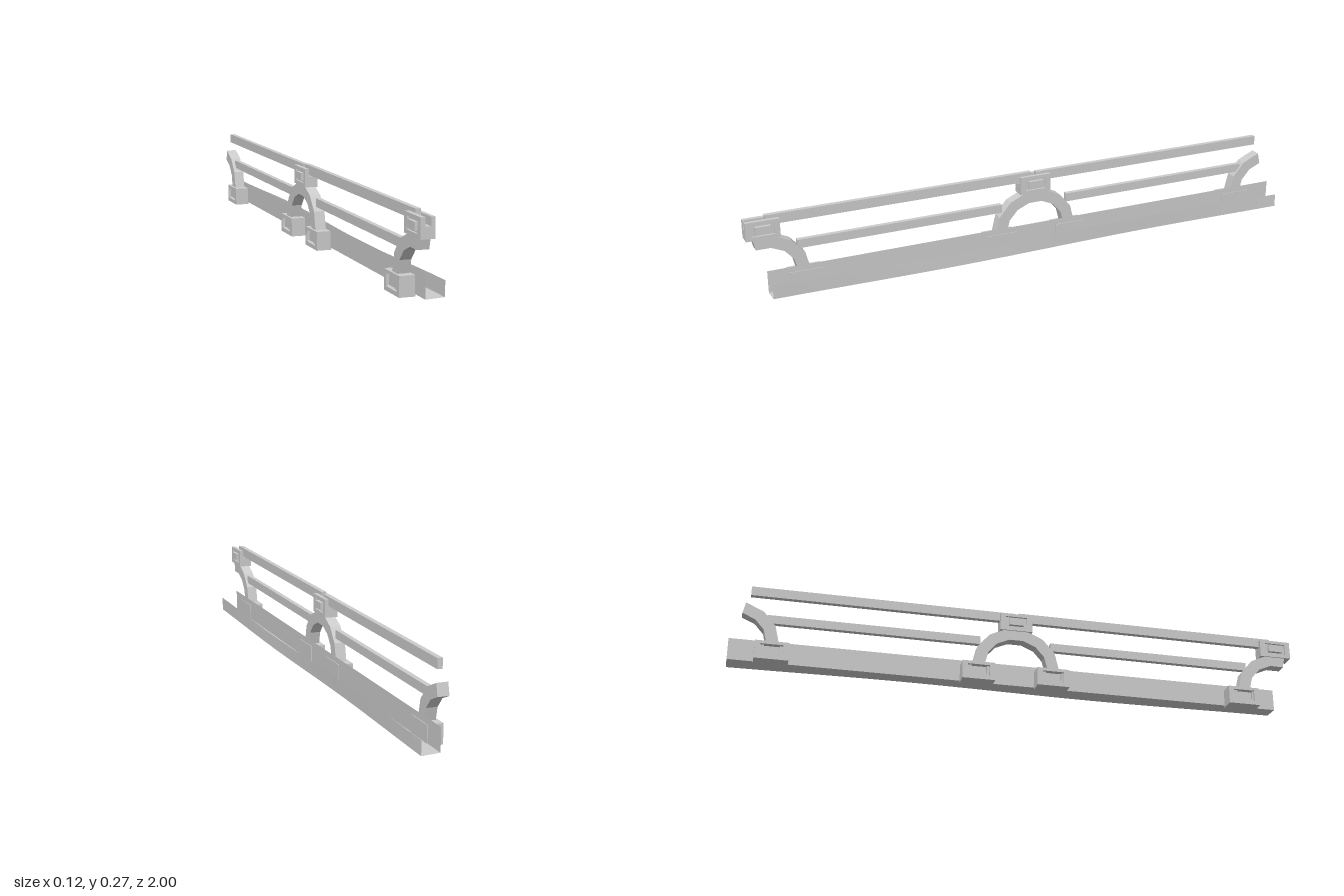
import * as THREE from 'three';

const mat = new THREE.MeshStandardMaterial({ color: 0xcccccc, flatShading: true });
const sheet = new THREE.MeshStandardMaterial({ color: 0xcccccc, flatShading: true, side: THREE.DoubleSide });

function add(parent, name, geo, material = mat) {
  const m = new THREE.Mesh(geo, material);
  m.name = name;
  parent.add(m);
  return m;
}

// Box given by its limits
function box(parent, name, x0, x1, y0, y1, z0, z1) {
  const g = new THREE.BoxGeometry(x1 - x0, y1 - y0, z1 - z0);
  g.translate((x0 + x1) / 2, (y0 + y1) / 2, (z0 + z1) / 2);
  return add(parent, name, g);
}

// Side profile in (z, y), extruded from x0 to x1
function sideExtrude(shape, x0, x1) {
  const g = new THREE.ExtrudeGeometry(shape, { depth: x1 - x0, bevelEnabled: false });
  g.rotateY(-Math.PI / 2);
  g.translate(x1, 0, 0);
  return g;
}

const rect = (Type, z0, z1, y0, y1) => new Type([[z0, y0], [z1, y0], [z1, y1], [z0, y1]]
  .map(([z, y]) => new THREE.Vector2(z, y)));

// Recessed frame with a raised pad, on one side of a block
function framedPad(parent, x0, x1, padX0, padX1, y0, y1, cy, z) {
  const shape = rect(THREE.Shape, z - 0.057, z + 0.057, y0, y1);
  shape.holes.push(rect(THREE.Path, z - 0.038, z + 0.038, cy - 0.02, cy + 0.02));
  add(parent, 'sideFrame', sideExtrude(shape, x0, x1));
  box(parent, 'sidePad', padX0, padX1, cy - 0.013, cy + 0.013, z - 0.026, z + 0.026);
}

// Arch made of the first n of seven straight segments; dir = z side it starts on
function arch(parent, z, dir, n) {
  const pts = [];
  const ring = (rz, ry, i) => {
    const a = (i * Math.PI) / 7;
    pts.push(new THREE.Vector2(z + dir * rz * Math.cos(a), 0.065 + ry * Math.sin(a)));
  };
  for (let i = 0; i <= n; i++) ring(0.152, 0.141, i);
  for (let i = n; i >= 0; i--) ring(0.11, 0.1, i);
  add(parent, 'archedSupport', sideExtrude(new THREE.Shape(pts), -0.045, -0.007));
}

// Foot clamped to the channel's back wall
function foot(parent, z) {
  const g = new THREE.Group();
  g.name = 'foot';
  box(g, 'footBlock', -0.044, -0.0005, 0, 0.065, z - 0.057, z + 0.057);
  framedPad(g, -0.053, -0.044, -0.05, -0.06, 0, 0.065, 0.034, z);
  parent.add(g);
}

// Notched block that holds the top rail
function railHolder(parent, z) {
  const g = new THREE.Group();
  g.name = 'railHolder';
  box(g, 'holderBase', -0.042, -0.01, 0.198, 0.235, z - 0.057, z + 0.057);
  box(g, 'holderCheek', -0.042, -0.034, 0.235, 0.262, z - 0.057, z + 0.057);
  box(g, 'holderCheek', -0.016, -0.01, 0.235, 0.262, z - 0.057, z + 0.057);
  framedPad(g, -0.049, -0.042, -0.053, -0.042, 0.198, 0.262, 0.231, z);
  framedPad(g, -0.01, -0.003, -0.01, 0.002, 0.198, 0.262, 0.231, z);
  parent.add(g);
}

// Thin U channel with a slightly buckled floor and outer wall
function channel() {
  const N = 24, pos = [], idx = [];
  for (let i = 0; i <= N; i++) {
    const z = 0.94 - (1.94 * i) / N;
    const w = Math.sin(z * 4.5 + 3.4);
    pos.push(-0.003, 0.085, z, -0.003, 0.008, z,
      0.058, 0.008 + 0.003 * w, z, 0.058 + 0.001 * w, 0.056 + 0.005 * w, z);
    if (i < N) for (let k = 0; k < 3; k++) {
      const a = i * 4 + k, b = a + 4;
      idx.push(a, a + 1, b, a + 1, b + 1, b);
    }
  }
  const g = new THREE.BufferGeometry();
  g.setAttribute('position', new THREE.Float32BufferAttribute(pos, 3));
  g.setIndex(idx);
  g.computeVertexNormals();
  return g;
}

export function createModel() {
  const model = new THREE.Group();
  model.name = 'railing';

  add(model, 'channel', channel(), sheet);

  // Supports: half at the front, whole in the middle, half at the back
  arch(model, 0.945, -1, 4);
  arch(model, -0.025, 1, 7);
  arch(model, -0.988, 1, 3);
  [0.808, 0.105, -0.158, -0.857].forEach((z) => foot(model, z));
  [0.943, -0.025].forEach((z) => railHolder(model, z));

  // Top and middle rails
  box(model, 'topRail', -0.033, -0.016, 0.24, 0.274, -0.013, 0.93);
  box(model, 'topRail', -0.033, -0.016, 0.238, 0.271, -0.94, -0.032);
  box(model, 'middleRail', -0.033, -0.016, 0.14, 0.17, 0.1, 0.83);
  box(model, 'middleRail', -0.033, -0.016, 0.14, 0.17, -0.88, -0.15);
  return model;
}
